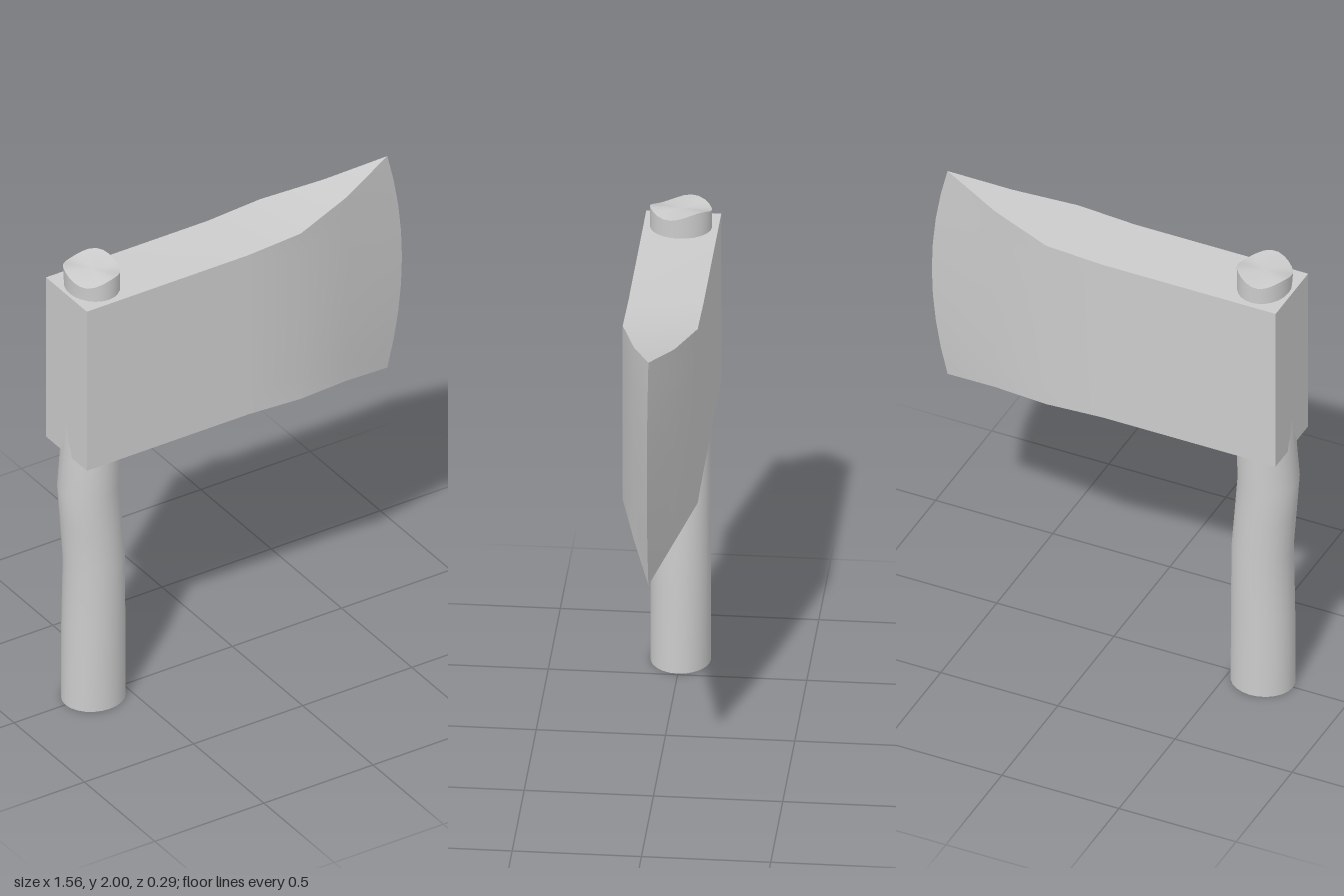
import * as THREE from 'three';
import { toCreasedNormals } from 'three/addons/utils/BufferGeometryUtils.js';

// Skins a list of equal-length rings (counter-clockwise seen from the far end), with fan caps.
function loft(rings, capEnd = true) {
  const n = rings[0].length;
  const points = rings.flat();
  const index = [];
  for (let i = 0; i < rings.length - 1; i++) {
    for (let j = 0; j < n; j++) {
      const a = i * n + j, b = i * n + (j + 1) % n;
      index.push(a, b, b + n, a, b + n, a + n);
    }
  }
  const cap = (start, flip) => {
    const centre = new THREE.Vector3();
    for (let j = 0; j < n; j++) centre.addScaledVector(points[start + j], 1 / n);
    const c = points.push(centre) - 1;
    for (let j = 0; j < n; j++) {
      const a = start + j, b = start + (j + 1) % n;
      index.push(c, flip ? b : a, flip ? a : b);
    }
  };
  cap(0, true);
  if (capEnd) cap((rings.length - 1) * n, false);
  const geometry = new THREE.BufferGeometry().setFromPoints(points);
  geometry.setIndex(index);
  return toCreasedNormals(geometry, 0.5);
}

// Axe head: tapering box sections along x, closing on a bowed cutting edge.
function headGeometry() {
  const stations = [ // x, bottom, top, half thickness, edge bow
    [-0.76, 1.15, 1.88, 0.145, 0],
    [-0.02, 1.15, 1.88, 0.145, 0],
    [0.22, 1.137, 1.895, 0.145, 0],
    [0.47, 1.095, 1.935, 0.078, 0.015],
    [0.71, 1.03, 2.0, 0, 0.067],
  ];
  const steps = 8;
  return loft(stations.map(([x, bottom, top, half, bow]) => {
    const ring = [];
    for (const side of [1, -1]) {
      for (let k = 0; k <= steps; k++) {
        const t = side > 0 ? 1 - k / steps : k / steps;
        const bulge = bow * (1 - (2 * t - 1) ** 2);
        ring.push(new THREE.Vector3(x + bulge, bottom + (top - bottom) * t, side * half));
      }
    }
    return ring;
  }), false);
}

// Handle: gently bent elliptical shaft with an uneven top.
function handleGeometry() {
  const sections = [ // y, centre x, radius x, radius z
    [0, -0.637, 0.128, 0.117],
    [0.35, -0.637, 0.126, 0.117],
    [0.64, -0.635, 0.121, 0.117],
    [0.82, -0.649, 0.121, 0.117],
    [0.98, -0.661, 0.121, 0.117],
    [1.2, -0.648, 0.114, 0.118],
    [1.88, -0.643, 0.103, 0.12],
    [1.96, -0.645, 0.106, 0.12],
  ];
  const sides = 24;
  return loft(sections.map(([y, cx, rx, rz], i) => {
    const ring = [];
    for (let j = 0; j < sides; j++) {
      const a = (j / sides) * Math.PI * 2;
      const wave = i === sections.length - 1 ? 0.01 * Math.cos(a - 0.6) + 0.012 * Math.cos(3 * (a - 0.7)) : 0;
      ring.push(new THREE.Vector3(cx + rx * Math.cos(a), y + wave, -rz * Math.sin(a)));
    }
    return ring;
  }));
}

export function createModel() {
  const group = new THREE.Group();
  group.name = 'axe';
  const material = new THREE.MeshStandardMaterial({ color: 0xcccccc });
  const parts = { head: headGeometry(), handle: handleGeometry() };
  for (const [name, geometry] of Object.entries(parts)) {
    const mesh = new THREE.Mesh(geometry, material);
    mesh.name = name;
    group.add(mesh);
  }
  return group;
}
